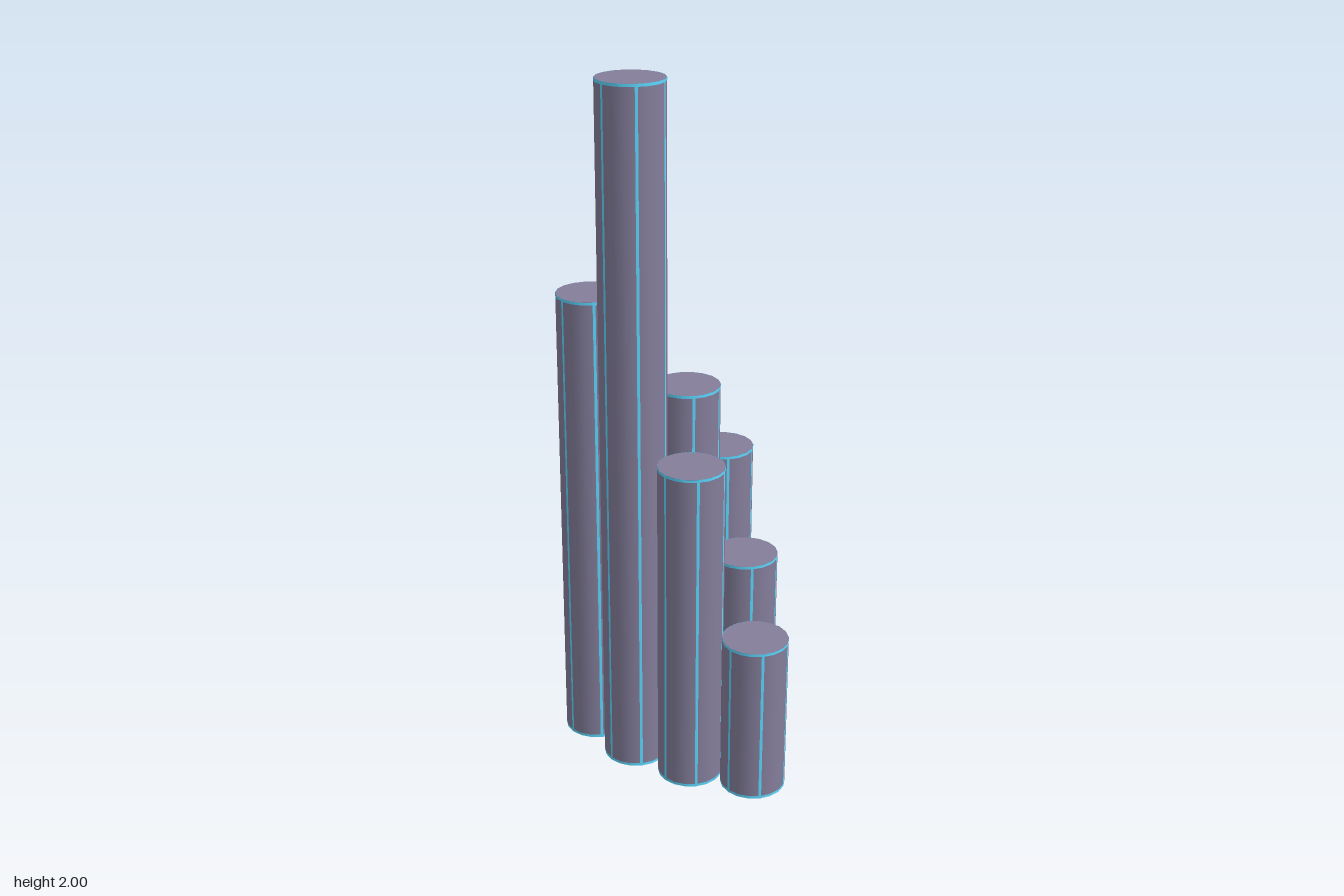
import * as THREE from 'three';

const RADIUS = 0.0934;
const SIDES = 18;
const TRIM_RADIUS = RADIUS + 0.0005;
const TRIM_WIDTH = 0.008;
const STRIPS = 6;

// Column positions and heights: [x, z, height]
const COLUMNS = [
  [-0.027, -0.272, 0.405],
  [0.189, -0.185, 0.865],
  [-0.203, -0.122, 1.38],
  [0.058, -0.044, 1.12],
  [-0.111, 0.048, 2.0],
  [0.203, 0.079, 0.642],
  [0.026, 0.180, 0.97],
  [0.192, 0.271, 0.472],
];

export function createModel() {
  const model = new THREE.Group();
  model.name = 'columnCluster';
  const body = new THREE.MeshStandardMaterial({ color: 0x847e9b, side: THREE.DoubleSide });
  const trim = new THREE.MeshStandardMaterial({ color: 0x5cd8ff, side: THREE.DoubleSide });

  // Flat top disc, turned so its corners meet those of the shaft
  const capGeometry = new THREE.CircleGeometry(RADIUS, SIDES, Math.PI / 2).rotateX(-Math.PI / 2);
  const bandGeometry = new THREE.CylinderGeometry(
    TRIM_RADIUS, TRIM_RADIUS, TRIM_WIDTH, SIDES, 1, true);

  COLUMNS.forEach(([x, z, height], i) => {
    const column = new THREE.Group();
    column.name = `column${i + 1}`;
    column.position.set(x, 0, z);

    const add = (name, geometry, material, y) => {
      const mesh = new THREE.Mesh(geometry, material);
      mesh.name = name;
      mesh.position.y = y;
      column.add(mesh);
      return mesh;
    };

    // Smooth shaft, open at the bottom
    add('shaft', new THREE.CylinderGeometry(RADIUS, RADIUS, height, SIDES, 1, true),
      body, height / 2);
    add('topCap', capGeometry, body, height);

    // Thin bright bands round both rims
    add('topBand', bandGeometry, trim, height - TRIM_WIDTH / 2);
    add('bottomBand', bandGeometry, trim, TRIM_WIDTH / 2);

    // Upright bright strips, one on every third corner
    const angle = TRIM_WIDTH / TRIM_RADIUS;
    const stripGeometry = new THREE.CylinderGeometry(
      TRIM_RADIUS, TRIM_RADIUS, height, 2, 1, true, -angle / 2, angle);
    for (let s = 0; s < STRIPS; s++) {
      add(`strip${s + 1}`, stripGeometry, trim, height / 2).rotation.y = s * Math.PI * 2 / STRIPS;
    }
    model.add(column);
  });
  return model;
}
